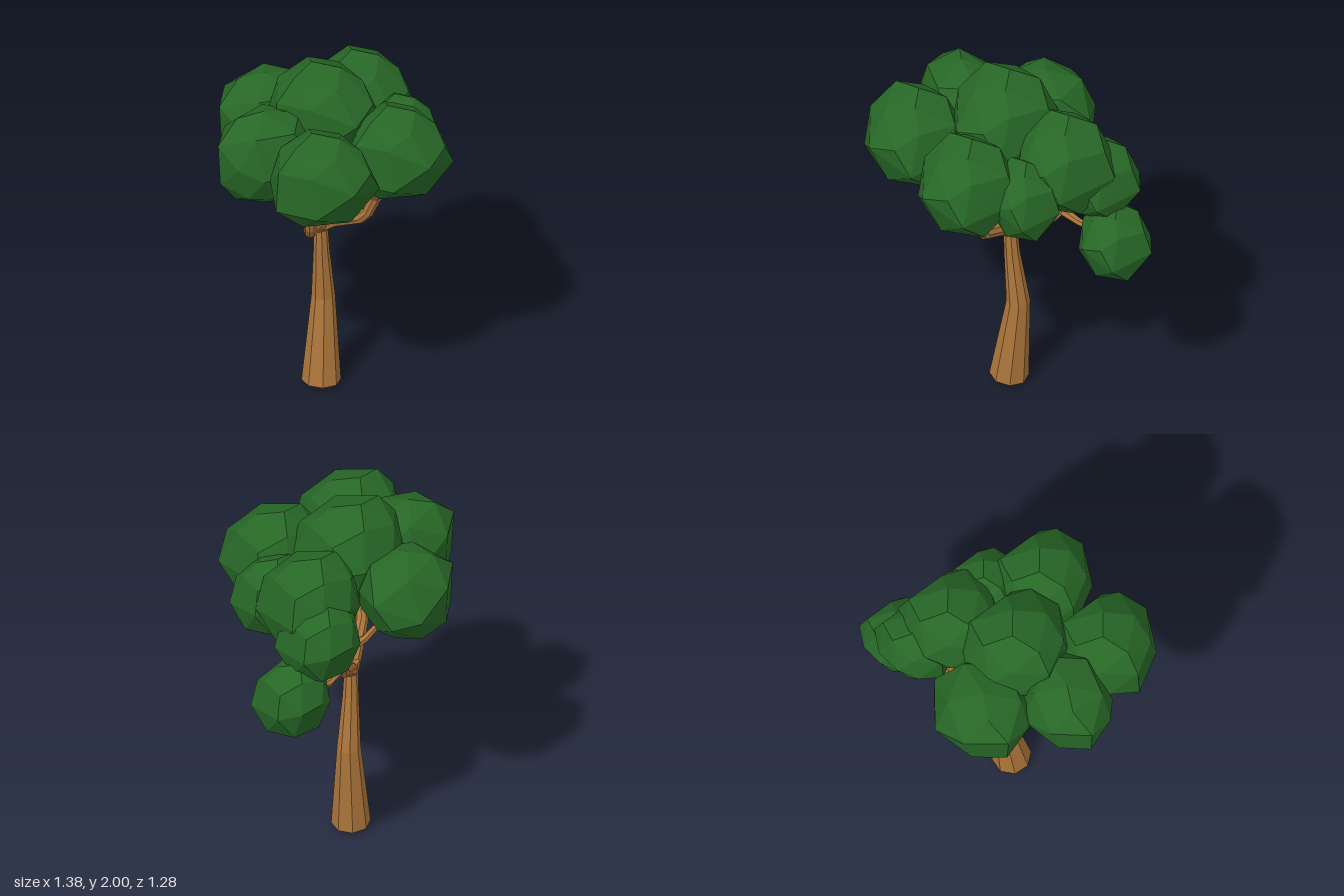
import * as THREE from 'three';
import { ConvexGeometry } from 'three/addons/geometries/ConvexGeometry.js';

const bark = new THREE.MeshStandardMaterial({ color: 0xac753a, flatShading: true });
const leaf = new THREE.MeshStandardMaterial({ color: 0x276726, flatShading: true });

// Tapered limb through points [x, y, z, radius], closed at both ends
function limb(name, pts, sides) {
  const c = pts.map(p => new THREE.Vector3(p[0], p[1], p[2]));
  const pos = [], idx = [], n = c.length;
  const u = new THREE.Vector3(1, 0, 0), v = new THREE.Vector3(), d = new THREE.Vector3();
  c.forEach((p, i) => {
    d.subVectors(c[Math.min(i + 1, n - 1)], c[Math.max(i - 1, 0)]).normalize();
    u.addScaledVector(d, -u.dot(d)).normalize();
    v.crossVectors(d, u);
    for (let j = 0; j < sides; j++) {
      const a = (j + 0.5) / sides * Math.PI * 2;
      const q = p.clone().addScaledVector(u, Math.cos(a) * pts[i][3]).addScaledVector(v, Math.sin(a) * pts[i][3]);
      pos.push(q.x, Math.max(q.y, 0), q.z);
    }
  });
  pos.push(...c[0].toArray(), ...c[n - 1].toArray());
  const first = n * sides, last = first + 1;
  for (let j = 0; j < sides; j++) {
    const k = (j + 1) % sides;
    for (let i = 0; i < n - 1; i++) {
      const a = i * sides + j, b = i * sides + k;
      idx.push(a, b, b + sides, a, b + sides, a + sides);
    }
    idx.push(first, k, j, last, (n - 1) * sides + j, (n - 1) * sides + k);
  }
  const g = new THREE.BufferGeometry();
  g.setAttribute('position', new THREE.Float32BufferAttribute(pos, 3));
  g.setIndex(idx);
  g.computeVertexNormals();
  const m = new THREE.Mesh(g, bark);
  m.name = name;
  return m;
}

// Corners of an irregular faceted clump filling a -1..1 box
const clumpCorners = [
  [-0.6, 0.9, 0.05], [-0.1, 1, -0.2], [0.35, 0.9, 0.1], [0, 0.75, 0.6], [0.1, 0.75, -0.7],
  [-0.95, 0.45, 0.05], [-0.55, 0.5, 0.62], [0.75, 0.55, 0.2], [0.7, 0.5, -0.6], [-0.6, 0.6, -0.55],
  [0.2, 0.1, 1], [1, -0.25, 0.5], [-0.5, -0.4, 0.78], [-1, -0.45, 0.05], [-0.82, -0.1, -0.55],
  [-0.4, 0.1, -0.9], [0.25, 0, -1], [0.85, -0.1, -0.75], [0.8, -0.8, -0.05], [0.3, -0.75, 0.65],
  [0, -1, 0], [-0.5, -0.88, 0.2], [-0.45, -0.75, -0.6], [0.35, -0.75, -0.75], [0.7, 0.3, 0.7]
].map(p => new THREE.Vector3(...p));

export function createModel() {
  const tree = new THREE.Group();
  tree.name = 'tree';

  // Trunk with a slight kink and a chamfered foot
  tree.add(limb('trunk', [
    [-0.04, 0.005, -0.08, 0.08], [-0.038, 0.025, -0.082, 0.104], [-0.006, 0.52, -0.12, 0.063],
    [-0.029, 0.82, -0.096, 0.043], [-0.035, 0.95, -0.09, 0.038], [-0.035, 1.03, -0.09, 0.045]
  ], 8));

  // Three main branches
  const fork = [-0.035, 0.98, -0.09, 0.042];
  const branches = {
    leftBranch: [fork, [-0.1, 1.045, -0.02, 0.039], [-0.21, 1.11, 0.12, 0.034], [-0.235, 1.17, 0.17, 0.031], [-0.25, 1.29, 0.2, 0.036]],
    frontBranch: [fork, [0.01, 1.04, -0.02, 0.039], [0.09, 1.11, 0.12, 0.034], [0.11, 1.16, 0.16, 0.031], [0.14, 1.28, 0.2, 0.036]],
    backBranch: [fork, [0.02, 1.035, -0.15, 0.039], [0.1, 1.1, -0.26, 0.034], [0.13, 1.16, -0.3, 0.036], [0.12, 1.24, -0.32, 0.028], [0.08, 1.32, -0.34, 0.028]]
  };
  for (const [name, pts] of Object.entries(branches)) tree.add(limb(name, pts, 8));

  // Twigs: start, bend and end inside the foliage
  const twigs = [
    [[-0.25, 1.27, 0.2], [-0.32, 1.31, 0.16], [-0.42, 1.42, 0.08]],
    [[-0.25, 1.27, 0.2], [-0.16, 1.31, 0.27], [-0.06, 1.41, 0.34]],
    [[0.14, 1.26, 0.2], [0.09, 1.33, 0.24], [0.05, 1.42, 0.27]],
    [[0.14, 1.26, 0.2], [0.23, 1.31, 0.15], [0.36, 1.42, 0.08]],
    [[0.13, 1.16, -0.3], [0.24, 1.13, -0.36], [0.44, 1.16, -0.43]],
    [[0.13, 1.18, -0.3], [0.2, 1.28, -0.34], [0.32, 1.42, -0.42]],
    [[0.08, 1.31, -0.34], [0.03, 1.35, -0.37], [-0.06, 1.46, -0.4]],
    [[0.08, 1.31, -0.34], [0.14, 1.36, -0.31], [0.24, 1.5, -0.27]]
  ];
  const twigRadii = [0.028, 0.021, 0.016];
  for (const t of twigs) tree.add(limb('twig', t.map((p, i) => [...p, twigRadii[i]]), 6));

  // Foliage clumps as [xMin, xMax, yMin, yMax, zMin, zMax, turn about x]
  const clumps = {
    foliageFrontRight: [-0.55, 0.0, 1.34, 1.86, 0.1, 0.64, 0],
    foliageFrontLeft: [-0.05, 0.48, 1.32, 1.84, 0.02, 0.56, 0],
    foliageRight: [-0.69, -0.17, 1.33, 1.86, -0.23, 0.25, Math.PI],
    foliageBackRight: [-0.48, 0.05, 1.3, 1.82, -0.64, -0.11, Math.PI],
    foliageCrown: [-0.34, 0.23, 1.46, 2.0, -0.34, 0.24, 0],
    foliageBackLeft: [0.02, 0.54, 1.34, 1.87, -0.51, 0.03, 0],
    foliageLeft: [0.18, 0.57, 1.29, 1.73, -0.15, 0.22, 0],
    foliageRear: [0.11, 0.54, 1.26, 1.69, -0.64, -0.21, 0],
    foliageLow: [0.29, 0.69, 0.96, 1.38, -0.63, -0.24, 0]
  };
  const clump = new ConvexGeometry(clumpCorners);
  for (const [name, [x0, x1, y0, y1, z0, z1, turn]] of Object.entries(clumps)) {
    const m = new THREE.Mesh(clump, leaf);
    m.name = name;
    m.position.set((x0 + x1) / 2, (y0 + y1) / 2, (z0 + z1) / 2);
    m.scale.set((x1 - x0) / 2, (y1 - y0) / 2, (z1 - z0) / 2);
    m.rotation.x = turn;
    tree.add(m);
  }
  return tree;
}
